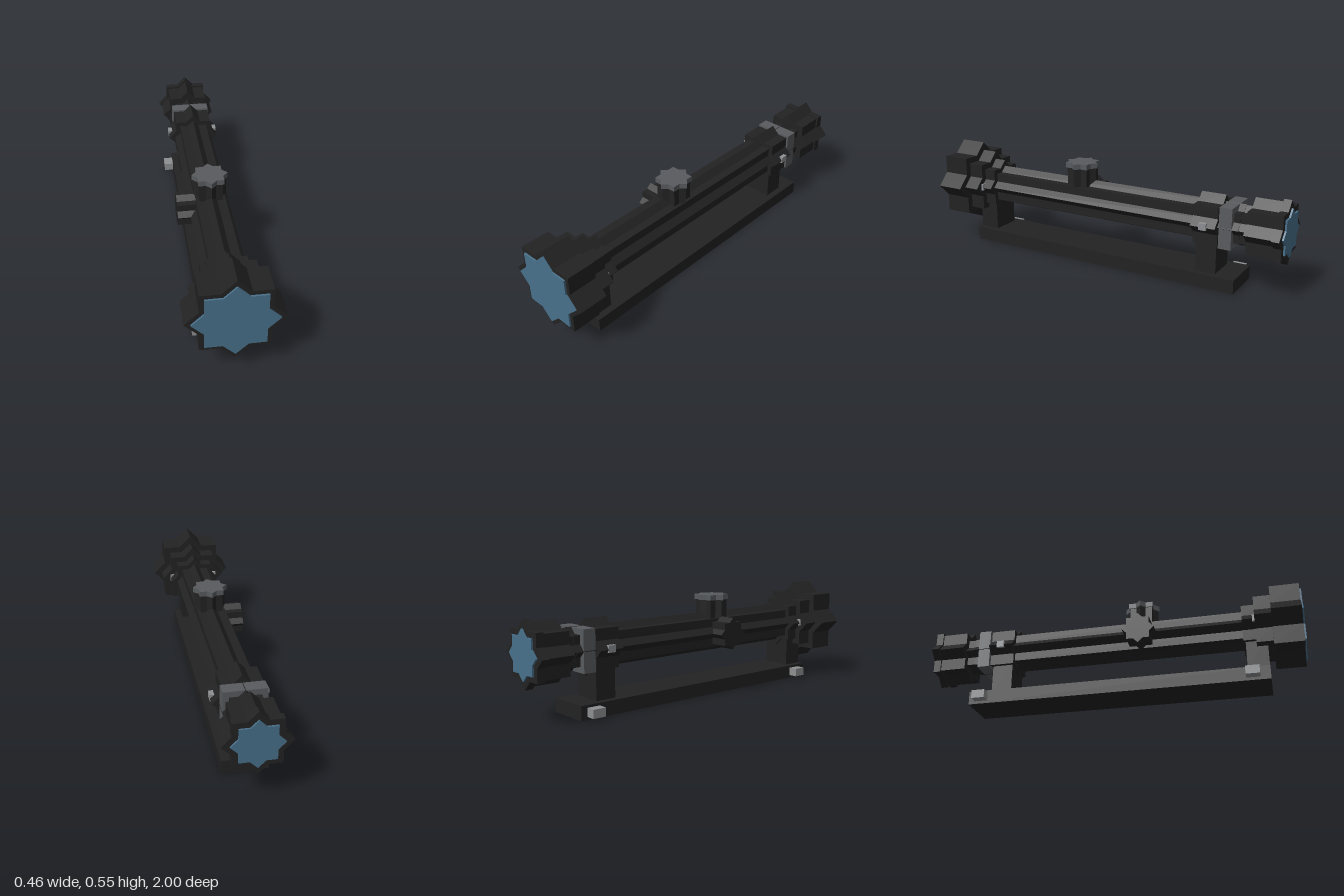
import * as THREE from 'three';

const mat = (name, color) => Object.assign(new THREE.MeshStandardMaterial({ color }), { name });

export function createModel() {
  const black = mat('matte black', 0x222222);
  const grey = mat('dark grey', 0x585b5e);
  const metal = mat('light metal', 0x8d8f92);
  const glass = mat('blue glass', 0x48708a);

  const model = new THREE.Group();
  model.name = 'scope';
  const axisY = 0.324;

  function add(name, geometry, material, x = 0, y = 0, z = 0) {
    const mesh = new THREE.Mesh(geometry, material);
    mesh.name = name;
    mesh.position.set(x, y, z);
    model.add(mesh);
    return mesh;
  }

  // Box given by its extents
  function box(name, material, x0, x1, y0, y1, z0, z1) {
    return add(name, new THREE.BoxGeometry(x1 - x0, y1 - y0, z1 - z0), material,
      (x0 + x1) / 2, (y0 + y1) / 2, (z0 + z1) / 2);
  }

  // Eight-pointed star prism: outline of two squares of half side h, turned 45 degrees
  function star(h, depth) {
    const points = [];
    for (let i = 0; i < 16; i++) {
      const r = i % 2 ? h / Math.cos(Math.PI / 8) : h * Math.SQRT2;
      const a = i * Math.PI / 8;
      points.push(new THREE.Vector2(r * Math.cos(a), r * Math.sin(a)));
    }
    return new THREE.ExtrudeGeometry(new THREE.Shape(points), { depth, bevelEnabled: false });
  }

  // Sections along the optical axis: name, material, half side, z range
  const sections = [
    ['frontLens', glass, 0.14, 0.991, 1.0],
    ['objectiveBell', black, 0.161, 0.842, 0.991],
    ['objectiveNeck', black, 0.129, 0.757, 0.842],
    ['mainTube', black, 0.0755, -0.77, 0.757],
    ['eyepieceNeck', black, 0.073, -0.812, -0.77],
    ['eyepiece', black, 0.106, -0.95, -0.812],
    ['eyepieceFlange', black, 0.115, -0.989, -0.95],
    ['rearLens', glass, 0.087, -0.998, -0.989],
  ];
  for (const [name, material, h, z0, z1] of sections) {
    add(name, star(h, z1 - z0), material, 0, axisY, z0);
  }

  // Square zoom ring
  box('zoomRing', grey, -0.105, 0.105, axisY - 0.105, axisY + 0.105, -0.737, -0.672);

  // Base rail with two mounts
  box('baseRail', black, -0.115, 0.115, 0, 0.072, -0.765, 0.813);
  for (const [end, z] of [['front', 0.757], ['rear', -0.6]]) {
    add(end + 'MountRing', star(0.099, 0.13), black, 0, axisY, z - 0.065);
    box(end + 'MountPost', black, -0.079, 0.079, 0.07, 0.25, z - 0.055, z + 0.055);
    for (const side of [-1, 1]) {
      add(end + 'RingScrew', new THREE.BoxGeometry(0.03, 0.035, 0.04), metal,
        side * 0.126, axisY + 0.003, z + (z > 0 ? 0.008 : 0));
    }
  }
  for (const z of [0.727, -0.696]) {
    box('railClampKnob', metal, -0.165, -0.11, 0.015, 0.059, z - 0.035, z + 0.035);
  }

  // Top turret with grey cap
  const turretZ = 0.163;
  add('topTurret', star(0.059, 0.1).rotateX(-Math.PI / 2), black, 0, 0.398, turretZ);
  add('topTurretCap', star(0.065, 0.028).rotateX(-Math.PI / 2), grey, 0, 0.497, turretZ);

  // Side turret on the right
  add('sideTurret', star(0.06, 0.102).rotateY(-Math.PI / 2), black, -0.07, axisY, turretZ);

  return model;
}
